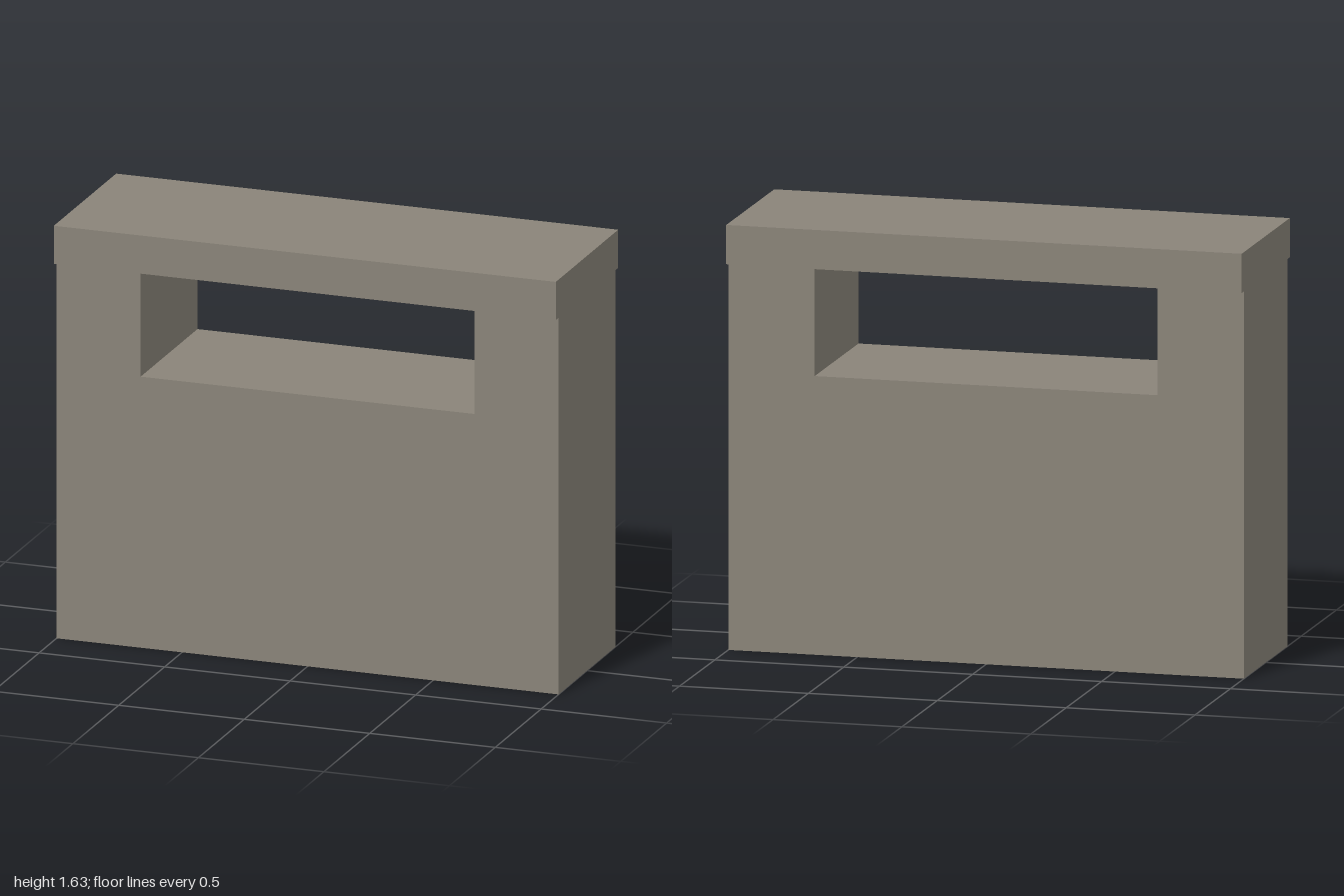
import * as THREE from 'three';

export function createModel() {
  const group = new THREE.Group();
  const stone = new THREE.MeshStandardMaterial({ color: 0x8a8479 });
  stone.name = 'warm grey stone';

  const bodyTop = 1.48, totalHeight = 1.63, sillHeight = 1.065;
  const openingHalf = 0.665, bodyDepth = 0.62, capDepth = 0.68;

  // Wall with two end piers either side of the opening, as one U-shaped solid
  const outline = new THREE.Shape([
    [-1, 0], [1, 0], [1, bodyTop], [openingHalf, bodyTop],
    [openingHalf, sillHeight], [-openingHalf, sillHeight],
    [-openingHalf, bodyTop], [-1, bodyTop],
  ].map(([x, y]) => new THREE.Vector2(x, y)));
  const bodyGeometry = new THREE.ExtrudeGeometry(outline, { depth: bodyDepth, bevelEnabled: false });
  bodyGeometry.translate(0, 0, -bodyDepth / 2);
  const body = new THREE.Mesh(bodyGeometry, stone);
  body.name = 'wallBody';
  group.add(body);

  // Cap slab overhanging the front and back, closing the opening from above
  const capHeight = totalHeight - bodyTop;
  const cap = new THREE.Mesh(new THREE.BoxGeometry(2, capHeight, capDepth), stone);
  cap.name = 'capSlab';
  cap.position.y = bodyTop + capHeight / 2;
  group.add(cap);

  return group;
}
